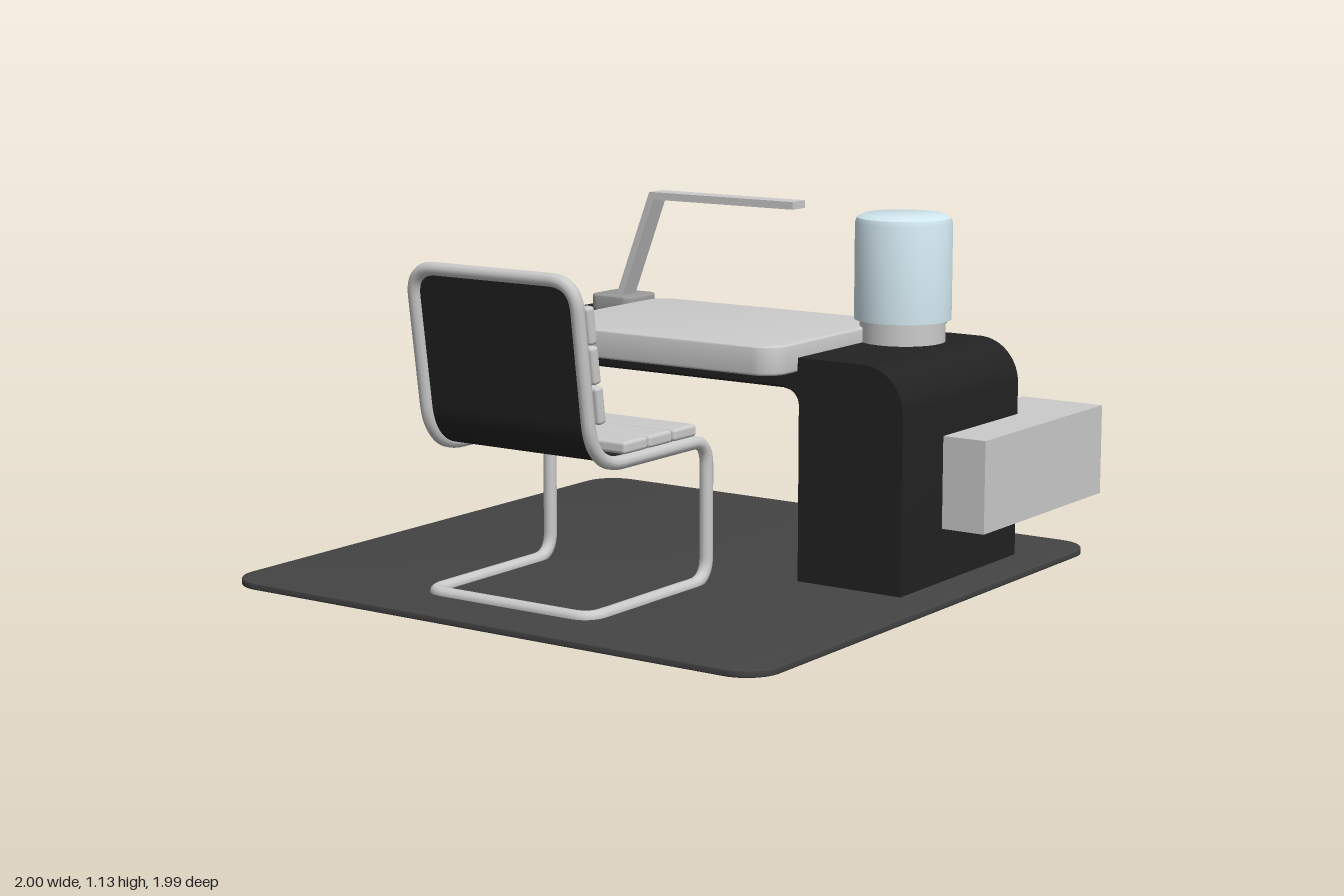
import * as THREE from 'three';
import { RoundedBoxGeometry } from 'three/addons/geometries/RoundedBoxGeometry.js';
import { toCreasedNormals } from 'three/addons/utils/BufferGeometryUtils.js';

const mat = (color, side = THREE.FrontSide) => new THREE.MeshStandardMaterial({ color, side });
const GREY = mat(0xcccccc), DARK = mat(0x222222), FLOOR = mat(0x444444);
const LAMP = mat(0x999999), BLUE = mat(0xd2e8f0), GREEN = mat(0x66aa22);

// Plan rectangle with per-end corner radii, extruded upward from y0 to y1
function slab(x0, x1, z0, z1, y0, y1, rBack, rFront, bevel) {
  const b = bevel, l = x0 + b, r = x1 - b, t = -z0 - b, f = -z1 + b;
  const s = new THREE.Shape();
  s.moveTo(l + rFront, f);
  s.lineTo(r - rFront, f);
  if (rFront) s.absarc(r - rFront, f + rFront, rFront, -Math.PI / 2, 0);
  s.lineTo(r, t - rBack);
  s.absarc(r - rBack, t - rBack, rBack, 0, Math.PI / 2);
  s.lineTo(l + rBack, t);
  s.absarc(l + rBack, t - rBack, rBack, Math.PI / 2, Math.PI);
  s.lineTo(l, f + rFront);
  if (rFront) s.absarc(l + rFront, f + rFront, rFront, Math.PI, Math.PI * 1.5);
  const g = new THREE.ExtrudeGeometry(s, {
    depth: y1 - y0 - 2 * b, bevelEnabled: b > 0, bevelSize: b, bevelThickness: b, bevelSegments: 3, curveSegments: 10,
  });
  g.rotateX(-Math.PI / 2).translate(0, y0 + b, 0);
  return toCreasedNormals(g, 0.6);
}

// Side profile drawn in (z, y), extruded across x0..x1
function sideExtrude(shape, x0, x1) {
  const g = new THREE.ExtrudeGeometry(shape, { depth: x1 - x0, bevelEnabled: false, curveSegments: 12 });
  g.rotateY(-Math.PI / 2).translate(x1, 0, 0);
  return toCreasedNormals(g, 0.6);
}

// Polyline of [x, y, z, radius] with rounded corners
function roundedPath(pts, closed) {
  const path = new THREE.CurvePath(), n = pts.length;
  const v = pts.map((p) => new THREE.Vector3(p[0], p[1], p[2]));
  const toward = (i, j) => v[i].clone().add(v[j].clone().sub(v[i]).setLength(pts[i][3] || 1e-6));
  for (let i = 0; i < (closed ? n : n - 1); i++) {
    const j = (i + 1) % n, k = (i + 2) % n;
    path.add(new THREE.LineCurve3(toward(i, j), toward(j, i)));
    if (closed || j < n - 1) path.add(new THREE.QuadraticBezierCurve3(toward(j, i), v[j], toward(j, k)));
  }
  path.arcLengthDivisions = 800;
  return path;
}

// Thin sheet stretched across the chair frame, rounded at its top edge
function sheet(pts, zA, zB, top) {
  const pos = [], idx = [], R = 0.08;
  pts.forEach((p, i) => {
    const d = Math.min(R, Math.max(0, top - p.y));
    const inset = R - Math.sqrt(R * R - (R - d) ** 2);
    pos.push(p.x, p.y, zA - inset, p.x, p.y, zB + inset);
    if (i) { const a = 2 * i - 2; idx.push(a, a + 2, a + 1, a + 1, a + 2, a + 3); }
  });
  const g = new THREE.BufferGeometry();
  g.setAttribute('position', new THREE.Float32BufferAttribute(pos, 3));
  g.setIndex(idx);
  g.computeVertexNormals();
  return g;
}

export function createModel() {
  const model = new THREE.Group();
  const add = (name, geo, m, parent = model) => {
    const mesh = new THREE.Mesh(geo, m);
    mesh.name = name;
    parent.add(mesh);
    return mesh;
  };
  const group = (name) => {
    const g = new THREE.Group();
    g.name = name;
    model.add(g);
    return g;
  };

  add('floorPlate', slab(-1, 0.98, -0.99, 0.985, 0, 0.022, 0.11, 0.11, 0.004), FLOOR);

  // Desk: one bent slab, leg at the front and a cantilevered top
  const desk = group('desk');
  const leg = new THREE.Shape();
  leg.moveTo(0.48, 0.01);
  leg.lineTo(0.848, 0.01);
  leg.lineTo(0.848, 0.58);
  leg.absarc(0.708, 0.58, 0.14, 0, Math.PI / 2);
  leg.lineTo(0.43, 0.72);
  leg.lineTo(0.43, 0.622);
  leg.absarc(0.43, 0.572, 0.05, Math.PI / 2, 0, true);
  leg.closePath();
  add('deskLeg', sideExtrude(leg, -0.015, 0.7), DARK, desk);
  add('deskTop', slab(-0.015, 0.7, -0.76, 0.44, 0.622, 0.72, 0.11, 0, 0.01), DARK, desk);
  add('workPanel', slab(-0.15, 0.57, -0.46, 0.475, 0.675, 0.767, 0.07, 0.07, 0.008), GREY, desk);

  // Box set into the foot of the desk
  add('sideBox', new THREE.BoxGeometry(0.77, 0.29, 0.29).translate(0.615, 0.335, 0.85), GREY);

  // Desk lamp
  const lamp = group('lamp');
  add('lampBase', slab(0.48, 0.645, -0.69, -0.515, 0.715, 0.77, 0.03, 0.03, 0.006), LAMP, lamp);
  const arm = new THREE.Shape([
    [-0.607, 0.765], [-0.58, 0.765], [-0.452, 1.102], [0.105, 1.102], [0.105, 1.127], [-0.435, 1.127], [-0.452, 1.12],
  ].map(([z, y]) => new THREE.Vector2(z, y)).map((p, i) => (i === 6 ? new THREE.Vector2(-0.468, 1.127) : p))
    .filter((p, i) => i !== 5));
  add('lampArm', sideExtrude(arm, 0.524, 0.598), GREY, lamp);

  // Canister on a narrower foot
  const canister = group('canister');
  canister.position.set(0.472, 0, 0.555);
  add('canisterFoot', new THREE.CylinderGeometry(0.136, 0.136, 0.08, 40).translate(0, 0.756, 0), GREY, canister);
  const body = [[0, 0.79], [0.154, 0.79], [0.154, 1.095], [0.148, 1.112], [0.13, 1.122], [0, 1.122]];
  add('canisterBody', toCreasedNormals(
    new THREE.LatheGeometry(body.map(([r, y]) => new THREE.Vector2(r, y)), 48), 0.7), BLUE, canister);
  add('indicator', new THREE.SphereGeometry(0.009, 10, 8).translate(0.083, 0.782, 0.106), GREEN, canister);

  // Cantilever chair facing the desk
  const chair = group('chair');
  const zA = 0.25, zB = -0.355;
  const side = [
    [-0.841, 1.025, 0.09], [-0.762, 0.468, 0.14], [-0.178, 0.468, 0.08], [-0.178, 0.025, 0.08], [-0.78, 0.025, 0.06],
  ];
  const loop = [
    ...side.map(([x, y, r]) => [x, y, zA, r]),
    ...[...side].reverse().map(([x, y, r]) => [x, y, zB, r]),
  ];
  add('chairFrame', new THREE.TubeGeometry(roundedPath(loop, true), 360, 0.021, 10, true), GREY, chair);

  const flat = side.map(([x, y, r], i) => [x, y, 0, i ? r : 0]);
  const seatPath = roundedPath([...flat.slice(0, 2), [-0.25, 0.468, 0, 0]], false);
  add('seatSheet', sheet(seatPath.getSpacedPoints(120), zA, zB, 1.025), mat(0x222222, THREE.DoubleSide), chair);
  const legPath = roundedPath([[-0.25, 0.468, 0, 0], flat[2], flat[3], [-0.3, 0.025, 0, 0]], false);
  add('legSheet', sheet(legPath.getSpacedPoints(60), zA, zB, 9), DARK, chair);

  // Padded slats: three on the seat, three leaning with the back
  const slat = (w, h) => new RoundedBoxGeometry(w, h, 0.645, 3, 0.011);
  [-0.57, -0.445, -0.317].forEach((x) => {
    add('seatSlat', slat(0.118, 0.038), GREY, chair).position.set(x, 0.511, -0.052);
  });
  [[-0.782, 0.893], [-0.764, 0.775], [-0.741, 0.655]].forEach(([x, y]) => {
    const s = add('backSlat', slat(0.035, 0.114), GREY, chair);
    s.position.set(x, y, -0.052);
    s.rotation.z = 0.145;
  });

  return model;
}
